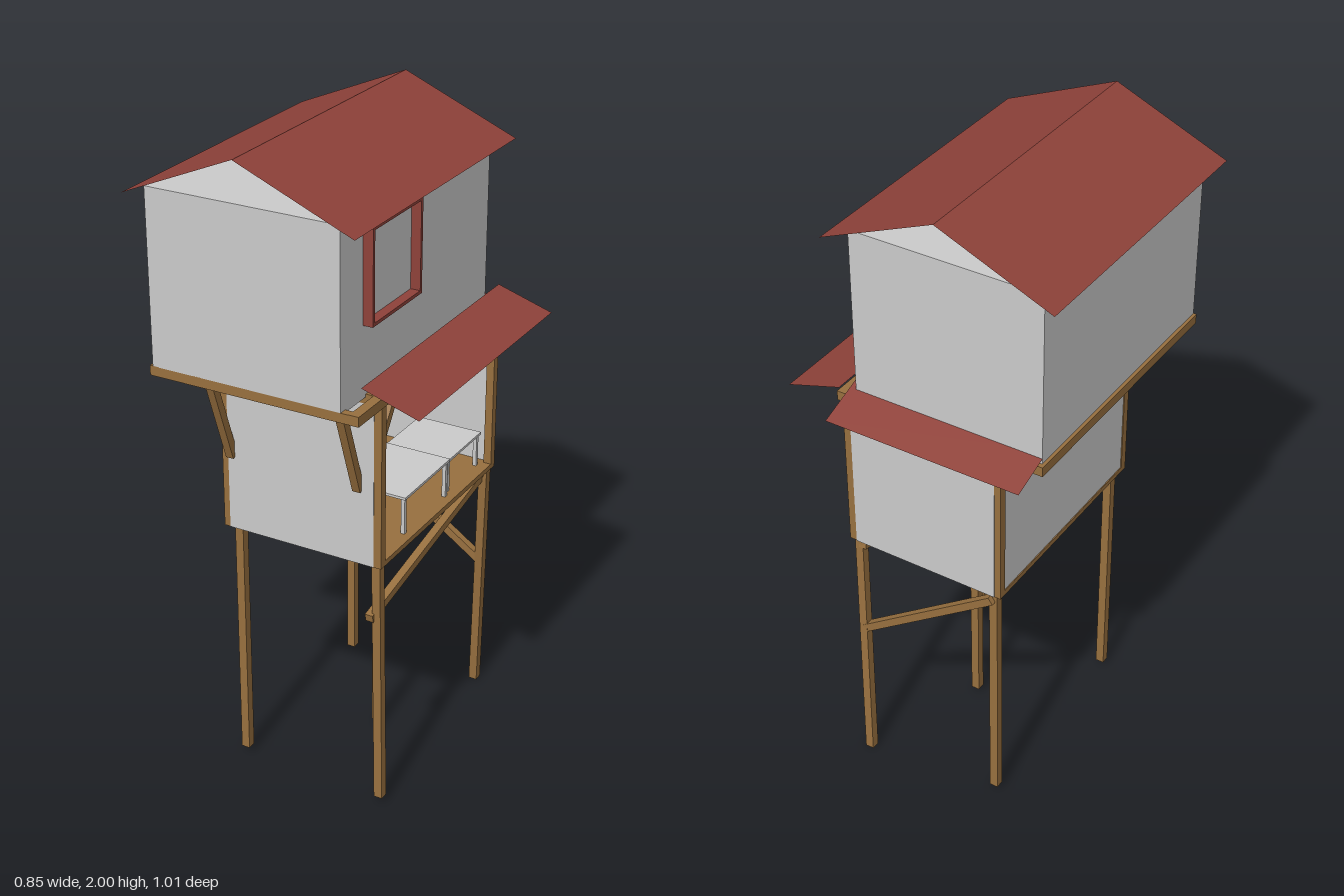
import * as THREE from 'three';

const mat = (color, side = THREE.FrontSide) => new THREE.MeshStandardMaterial({ color, side, flatShading: true });
const grey = mat(0xcccccc);
const wood = mat(0x98703f);
const red = mat(0x8f423a);
const redSheet = mat(0x8f423a, THREE.DoubleSide);

export function createModel() {
  const model = new THREE.Group();

  const group = (name) => {
    const g = new THREE.Group();
    g.name = name;
    model.add(g);
    return g;
  };

  // Box given by its extents on each axis
  function box(name, [x0, x1], [y0, y1], [z0, z1], material, parent = model) {
    const mesh = new THREE.Mesh(new THREE.BoxGeometry(x1 - x0, y1 - y0, z1 - z0), material);
    mesh.position.set((x0 + x1) / 2, (y0 + y1) / 2, (z0 + z1) / 2);
    mesh.name = name;
    parent.add(mesh);
  }

  // Square timber running from point a to point b
  function beam(name, a, b, w = 0.025, parent = model) {
    const p = new THREE.Vector3(...a);
    const d = new THREE.Vector3(...b).sub(p);
    const mesh = new THREE.Mesh(new THREE.BoxGeometry(w, d.length(), w), wood);
    mesh.position.copy(p).addScaledVector(d, 0.5);
    mesh.quaternion.setFromUnitVectors(new THREE.Vector3(0, 1, 0), d.normalize());
    mesh.name = name;
    parent.add(mesh);
  }

  // Thin sheet through four corners in order
  function sheet(name, a, b, c, d) {
    const geo = new THREE.BufferGeometry();
    geo.setAttribute('position', new THREE.Float32BufferAttribute([...a, ...b, ...c, ...d], 3));
    geo.setIndex([0, 1, 2, 0, 2, 3]);
    geo.computeVertexNormals();
    const mesh = new THREE.Mesh(geo, redSheet);
    mesh.name = name;
    model.add(mesh);
  }

  // Upper cabin and gable roof
  box('cabin', [-0.37, 0.23], [1.335, 1.87], [-0.385, 0.475], grey);
  for (const [name, x] of [['roofRight', -0.425], ['roofLeft', 0.29]]) {
    sheet(name, [x, 1.85, 0.505], [x, 1.85, -0.43], [-0.07, 2, -0.43], [-0.07, 2, 0.505]);
  }

  // Awnings over the open side and the back
  sheet('sideAwning', [0.25, 1.39, 0.4], [0.425, 1.335, 0.4], [0.425, 1.335, -0.435], [0.25, 1.39, -0.435]);
  sheet('backAwning', [-0.37, 1.37, -0.36], [0.25, 1.37, -0.36], [0.25, 1.32, -0.505], [-0.37, 1.32, -0.505]);

  // Window frame
  const win = group('windowFrame');
  for (const z of [0.08, 0.345]) box('windowJamb', [0.23, 0.26], [1.55, 1.83], [z, z + 0.01], red, win);
  for (const y of [1.55, 1.82]) box('windowRail', [0.23, 0.26], [y, y + 0.01], [0.09, 0.345], red, win);

  // Timber frame carrying the cabin
  const frame = group('cabinFrame');
  for (const x of [-0.38, -0.24, 0.255]) box('longBeam', [x, x + 0.03], [1.315, 1.345], [-0.4, 0.475], wood, frame);
  for (const z of [-0.4, 0.315, 0.45]) box('crossBeam', [-0.38, 0.285], [1.315, 1.344], [z, z + 0.025], wood, frame);

  // Lower room: floor, three walls, corner posts
  box('floor', [-0.24, 0.28], [0.81, 0.826], [-0.385, 0.338], wood);
  box('frontWall', [-0.22, 0.256], [0.81, 1.32], [0.325, 0.339], grey);
  box('backWall', [-0.22, 0.256], [0.81, 1.32], [-0.387, -0.375], grey);
  box('sideWall', [-0.237, -0.225], [0.81, 1.32], [-0.362, 0.315], grey);
  for (const x of [-0.24, 0.255]) {
    for (const z of [-0.385, 0.313]) box('cornerPost', [x, x + 0.025], [0.81, 1.32], [z, z + 0.025], wood);
  }

  // Braces under the front overhang and in the open side
  for (const x of [-0.21, 0.205]) {
    beam('frontBracket', [x, 1.045, 0.335], [x, 1.315, 0.43]);
  }
  beam('cornerBrace', [0.267, 1.22, 0.318], [0.267, 1.32, 0.25], 0.022);
  beam('cornerBrace', [0.267, 1.22, -0.37], [0.267, 1.32, -0.285], 0.022);

  // Ladder against the side wall
  const ladder = group('ladder');
  for (const z of [0.12, 0.255]) beam('ladderRail', [-0.205, 0.826, z], [-0.205, 1.32, z], 0.02, ladder);
  for (let i = 0; i < 7; i++) {
    const shift = i % 2 ? -0.006 : 0.006;
    beam('rung', [-0.19, 0.89 + i * 0.0667, 0.08 + shift], [-0.19, 0.89 + i * 0.0667, 0.285 + shift], 0.012, ladder);
  }

  // Two tables
  for (const [z0, z1, top, x1] of [[-0.12, 0.16, 0.948, 0.26], [-0.345, -0.13, 0.936, 0.25]]) {
    const table = group('table');
    box('tableTop', [0.037, x1], [top - 0.008, top], [z0, z1], grey, table);
    for (const x of [0.042, x1 - 0.017]) {
      for (const z of [z0 + 0.006, z1 - 0.018]) {
        box('tableLeg', [x, x + 0.012], [0.826, top - 0.008], [z, z + 0.012], grey, table);
      }
    }
  }

  // Stilts
  const stilts = [
    [[-0.205, 0.02, 0.303], [-0.205, 0.815, 0.303]],
    [[-0.205, 0.02, -0.355], [-0.205, 0.815, -0.355]],
    [[0.075, 0.02, -0.022], [0.075, 0.815, -0.022]],
    [[0.275, 0.02, 0.325], [0.252, 0.815, 0.305]],
    [[0.225, 0.002, -0.408], [0.262, 0.815, -0.355]],
  ];
  for (const [a, b] of stilts) beam('stilt', a, b, 0.027);

  // Diagonal braces between stilts
  beam('sideStiltBrace', [0.238, 0.632, 0.33], [0.248, 0.787, -0.37]);
  beam('backStiltBrace', [-0.205, 0.785, -0.372], [0.24, 0.475, -0.378]);
  beam('middleStiltBrace', [0.075, 0.64, -0.03], [0.255, 0.79, -0.36]);

  return model;
}
